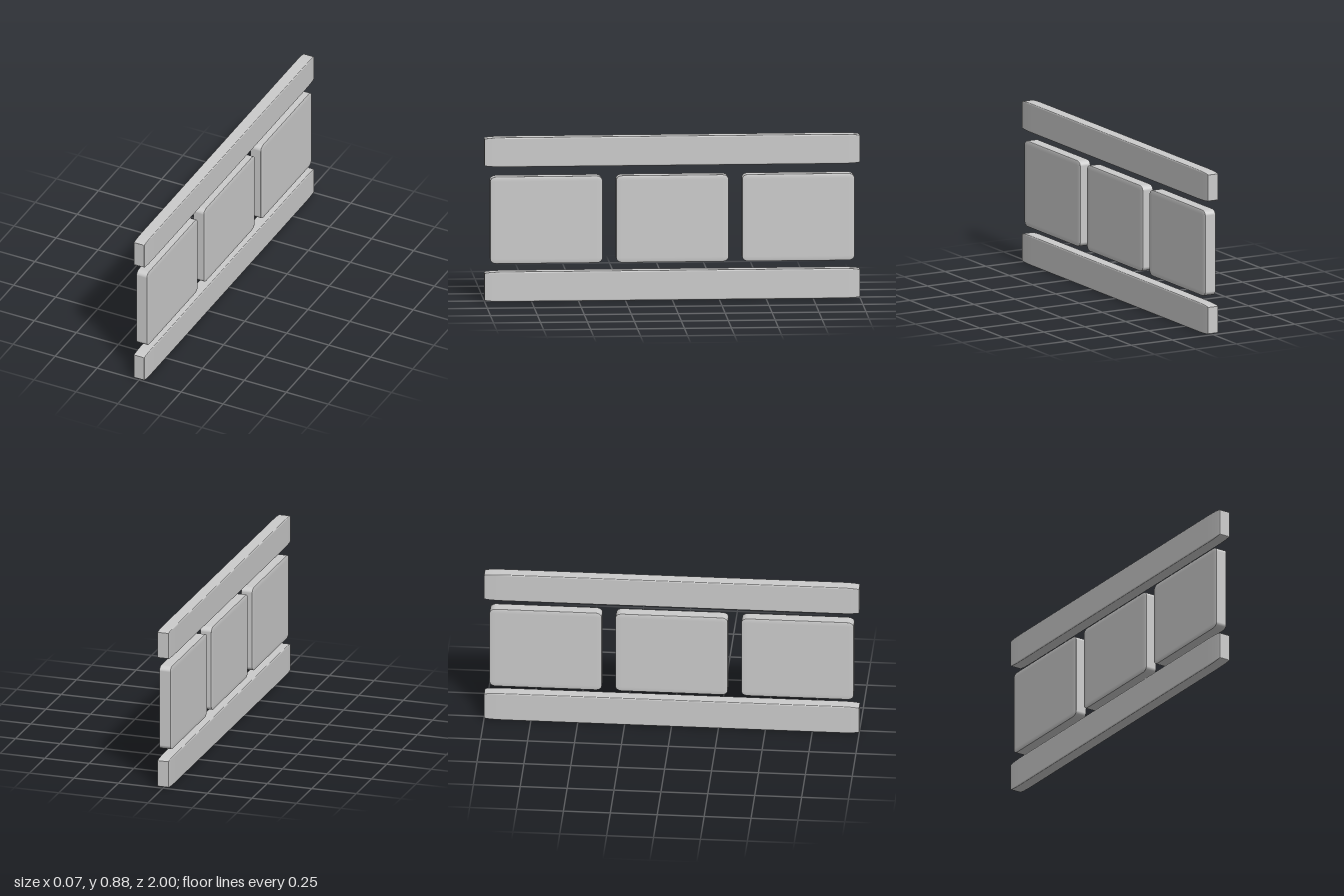
import * as THREE from 'three';
import { RoundedBoxGeometry } from 'three/addons/geometries/RoundedBoxGeometry.js';

export function createModel() {
  const group = new THREE.Group();
  const material = new THREE.MeshStandardMaterial({ color: 0xcccccc });
  // One softened unit cube, stretched per part so the bevel stretches with it
  const block = new RoundedBoxGeometry(1, 1, 1, 4, 0.055);
  const thickness = 0.068;

  function addBlock(name, y0, y1, z0, z1) {
    const mesh = new THREE.Mesh(block, material);
    mesh.name = name;
    mesh.scale.set(thickness, y1 - y0, z1 - z0);
    mesh.position.set(0, (y0 + y1) / 2, (z0 + z1) / 2);
    group.add(mesh);
  }

  // Long rails
  addBlock('bottomRail', 0, 0.16, -1, 1);
  addBlock('topRail', 0.724, 0.882, -1, 1);

  // Three panels between the rails
  ['backPanel', 'middlePanel', 'frontPanel'].forEach((name, i) => {
    const z = (i - 1) * 0.671;
    addBlock(name, 0.204, 0.671, z - 0.299, z + 0.299);
  });

  return group;
}
